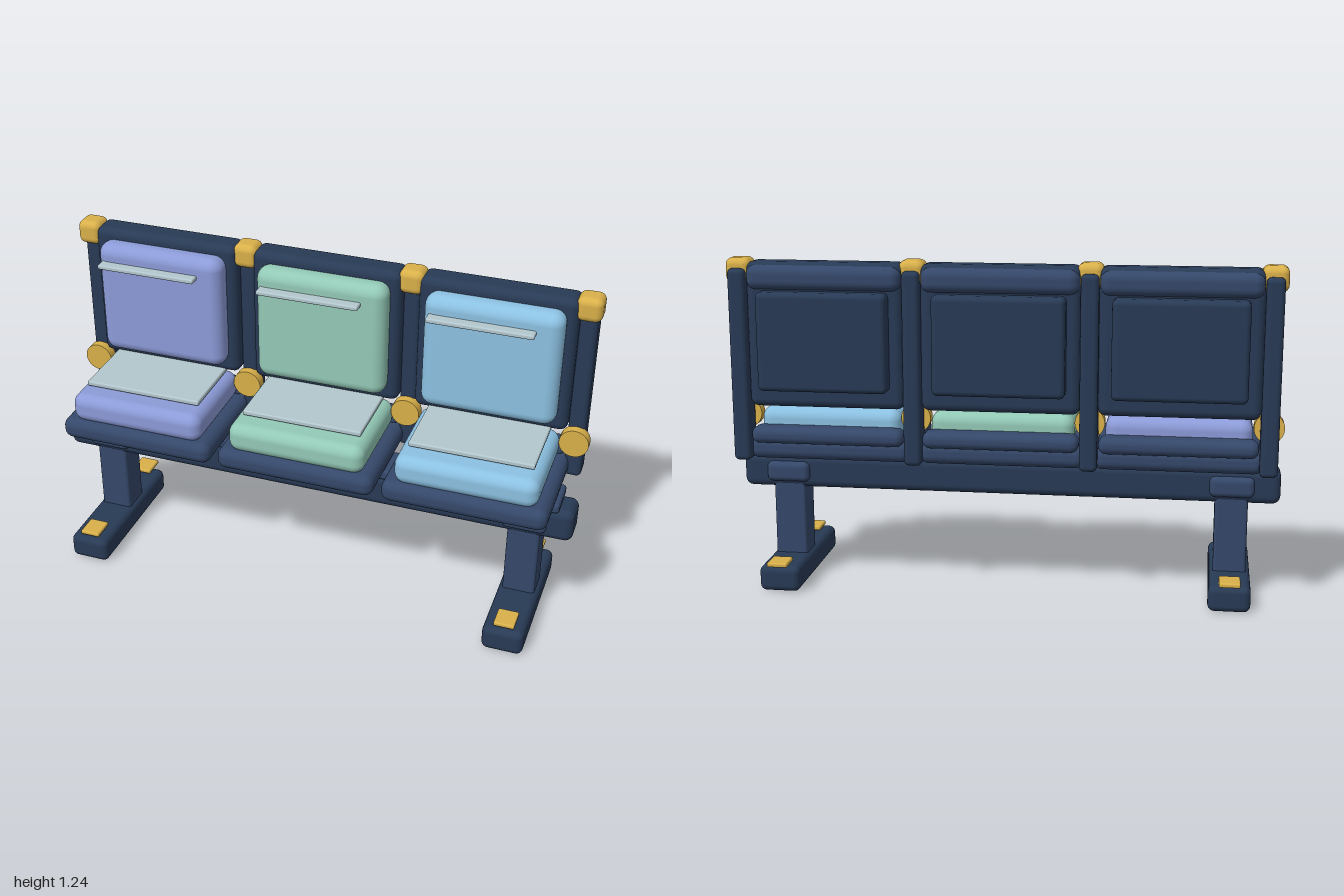
import * as THREE from 'three';
import { RoundedBoxGeometry } from 'three/addons/geometries/RoundedBoxGeometry.js';

const mat = (color) => new THREE.MeshStandardMaterial({ color });
const navy = mat(0x283a55);
const slate = mat(0x35486a);
const gold = mat(0xd9b04a);
const pale = mat(0xb3c7ce);
const fabrics = [mat(0x8c9bd8), mat(0x93c9b6), mat(0x8cc1e2)];

// Rounded box given by its [min, max] range on each axis
function block(parent, name, material, [x0, x1], [y0, y1], [z0, z1], radius) {
  const geometry = new RoundedBoxGeometry(x1 - x0, y1 - y0, z1 - z0, 4, radius);
  const mesh = new THREE.Mesh(geometry, material);
  mesh.name = name;
  mesh.position.set((x0 + x1) / 2, (y0 + y1) / 2, (z0 + z1) / 2);
  parent.add(mesh);
  return mesh;
}

const span = (half, centre = 0) => [centre - half, centre + half];

function createLeg(x) {
  const leg = new THREE.Group();
  leg.name = 'leg';
  leg.position.x = x;
  block(leg, 'foot', navy, span(0.076), [0, 0.097], [-0.253, 0.3], 0.025);
  block(leg, 'legPost', slate, span(0.06), [0.07, 0.42], [-0.073, 0.047], 0.012);
  block(leg, 'beamCollar', slate, span(0.081), [0.38, 0.457], [-0.097, 0.07], 0.022);
  // Thin tread plates just above both ends of the foot
  block(leg, 'frontTread', gold, span(0.038), [0.102, 0.119], [0.194, 0.282], 0.006);
  block(leg, 'rearTread', gold, span(0.038), [0.102, 0.119], [-0.276, -0.188], 0.006);
  return leg;
}

function createSeat(x, fabric) {
  const seat = new THREE.Group();
  seat.name = 'seat';
  seat.position.x = x;
  // Seat pan, cushion and pale top sheet
  block(seat, 'seatPan', slate, span(0.3), [0.5, 0.584], [-0.225, 0.227], 0.035);
  block(seat, 'seatCushion', fabric, span(0.26), [0.575, 0.688], [-0.19, 0.212], 0.042);
  block(seat, 'seatSheet', pale, span(0.227), [0.693, 0.713], [-0.17, 0.13], 0.006);
  // Backrest shell with a raised rear panel and two cross rails
  block(seat, 'backShell', navy, span(0.284), [0.7, 1.225], [-0.24, -0.13], 0.03);
  block(seat, 'rearPanel', navy, span(0.235), [0.768, 1.123], [-0.298, -0.2], 0.02);
  block(seat, 'topRail', slate, span(0.28), [1.125, 1.215], [-0.26, -0.16], 0.035);
  block(seat, 'lowerRail', slate, span(0.28), [0.565, 0.627], [-0.258, -0.17], 0.028);
  // Back cushion and its pale strip
  block(seat, 'backCushion', fabric, span(0.248), [0.747, 1.19], [-0.16, -0.06], 0.045);
  block(seat, 'backStrip', pale, span(0.192, -0.035), [1.109, 1.127], [-0.08, -0.022], 0.006);
  return seat;
}

function createUpright(x) {
  const upright = new THREE.Group();
  upright.name = 'upright';
  upright.position.x = x;
  block(upright, 'post', navy, span(0.032), [0.5, 1.2], [-0.254, -0.165], 0.018);
  block(upright, 'postCap', gold, span(0.046), [1.145, 1.236], [-0.23, -0.136], 0.026);
  // Round hinge cover facing forward
  const disc = new THREE.Mesh(new THREE.CylinderGeometry(0.054, 0.054, 0.04, 32), gold);
  disc.name = 'hingeCover';
  disc.rotation.x = Math.PI / 2;
  disc.position.set(0, 0.661, -0.152);
  upright.add(disc);
  return upright;
}

export function createModel() {
  const bench = new THREE.Group();
  bench.name = 'tripleSeatBench';

  // Main beam and the mounting strip on top of it
  block(bench, 'beam', navy, span(1), [0.355, 0.483], [-0.077, 0.053], 0.03);
  block(bench, 'mountingStrip', slate, span(0.945), [0.478, 0.518], [-0.085, 0.06], 0.012);

  for (const side of [-1, 1]) bench.add(createLeg(side * 0.825));

  const pitch = 0.63;
  fabrics.forEach((fabric, i) => bench.add(createSeat((i - 1) * pitch, fabric)));
  for (let i = 0; i < 4; i++) bench.add(createUpright((i - 1.5) * pitch));

  return bench;
}
